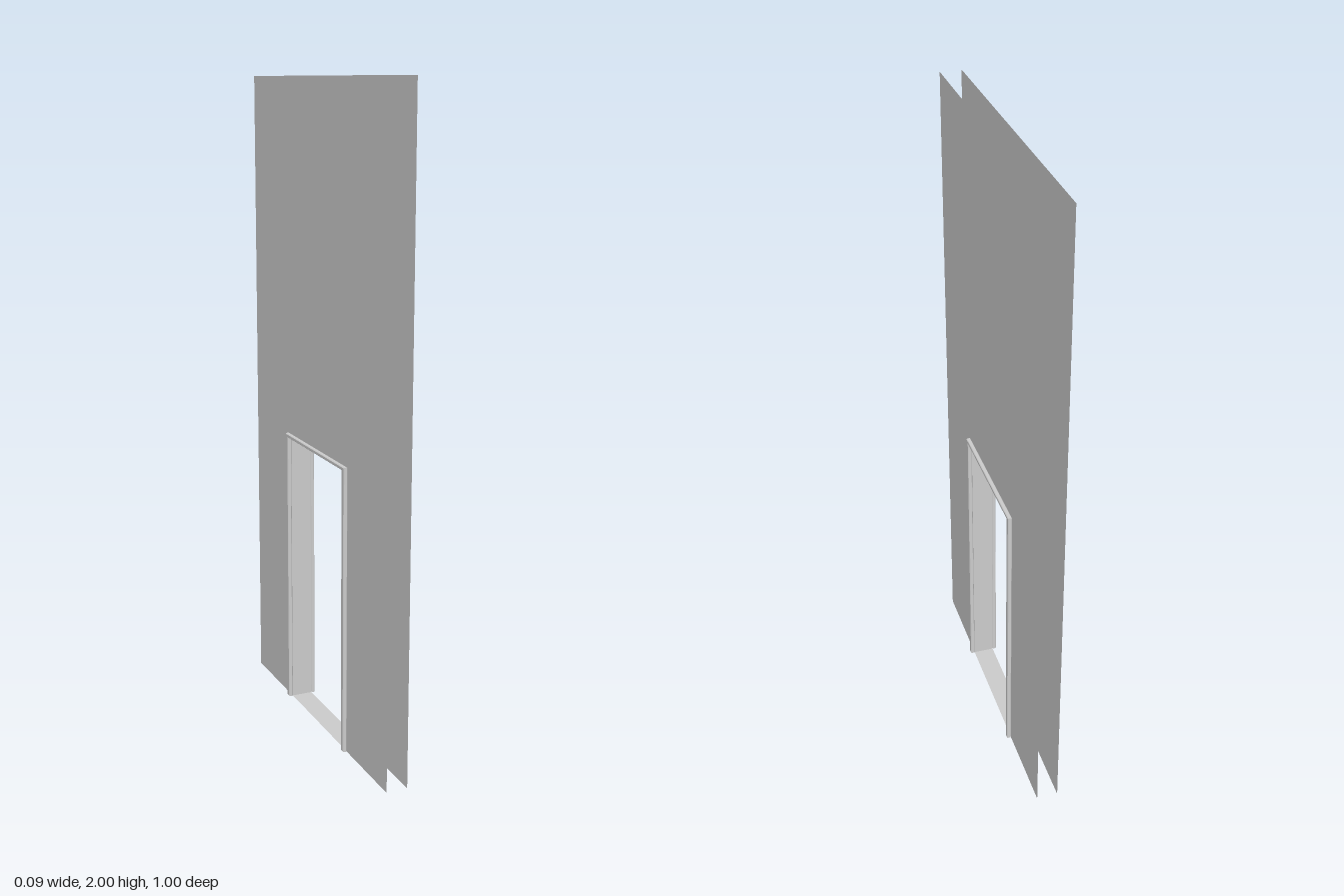
import * as THREE from 'three';

const material = new THREE.MeshStandardMaterial({ color: 0xcccccc, side: THREE.DoubleSide, flatShading: true });

const WALL_X = 0.033;               // wall skins sit at +-WALL_X
const IN_Z = 0.207, IN_Y = 0.887;   // clear opening
const OUT_Z = 0.224, OUT_Y = 0.898; // outer edge of the trim
const TRIM_DEPTH = 0.013, BEVEL = 0.002;

// Arch-shaped outline: a slab with a doorway cut up from the floor
function doorwayShape(halfWidth, height, holeHalf, holeHeight) {
  return new THREE.Shape([
    [-halfWidth, 0], [-holeHalf, 0], [-holeHalf, holeHeight], [holeHalf, holeHeight],
    [holeHalf, 0], [halfWidth, 0], [halfWidth, height], [-halfWidth, height],
  ].map(([x, y]) => new THREE.Vector2(x, y)));
}

function addMesh(group, name, geometry) {
  const mesh = new THREE.Mesh(geometry, material);
  mesh.name = name;
  group.add(mesh);
  return mesh;
}

export function createModel() {
  const group = new THREE.Group();
  group.name = 'wallWithDoorway';

  for (const side of [1, -1]) {
    const label = side > 0 ? 'left' : 'right';

    // Thin wall skin
    const wall = new THREE.ShapeGeometry(doorwayShape(0.5, 2, IN_Z, IN_Y));
    wall.rotateY(side * Math.PI / 2);
    addMesh(group, label + 'Wall', wall).position.x = side * WALL_X;

    // Door trim standing proud of the wall, with softened edges
    const trim = new THREE.ExtrudeGeometry(doorwayShape(OUT_Z, OUT_Y, IN_Z, IN_Y), {
      depth: TRIM_DEPTH - 2 * BEVEL, bevelEnabled: true, bevelSegments: 1,
      bevelSize: BEVEL, bevelThickness: BEVEL, bevelOffset: -BEVEL,
    });
    trim.translate(0, 0, BEVEL);
    trim.rotateY(side * Math.PI / 2);
    addMesh(group, label + 'Trim', trim).position.x = side * WALL_X;

    // Jamb lining between the two skins
    const jamb = new THREE.PlaneGeometry(2 * WALL_X, IN_Y);
    addMesh(group, side > 0 ? 'frontJamb' : 'backJamb', jamb).position.set(0, IN_Y / 2, side * IN_Z);
  }

  // Lining above and below the opening
  for (const [name, y] of [['headLining', IN_Y], ['threshold', 0.001]]) {
    const plate = new THREE.PlaneGeometry(2 * WALL_X, 2 * IN_Z);
    plate.rotateX(-Math.PI / 2);
    addMesh(group, name, plate).position.y = y;
  }

  return group;
}
